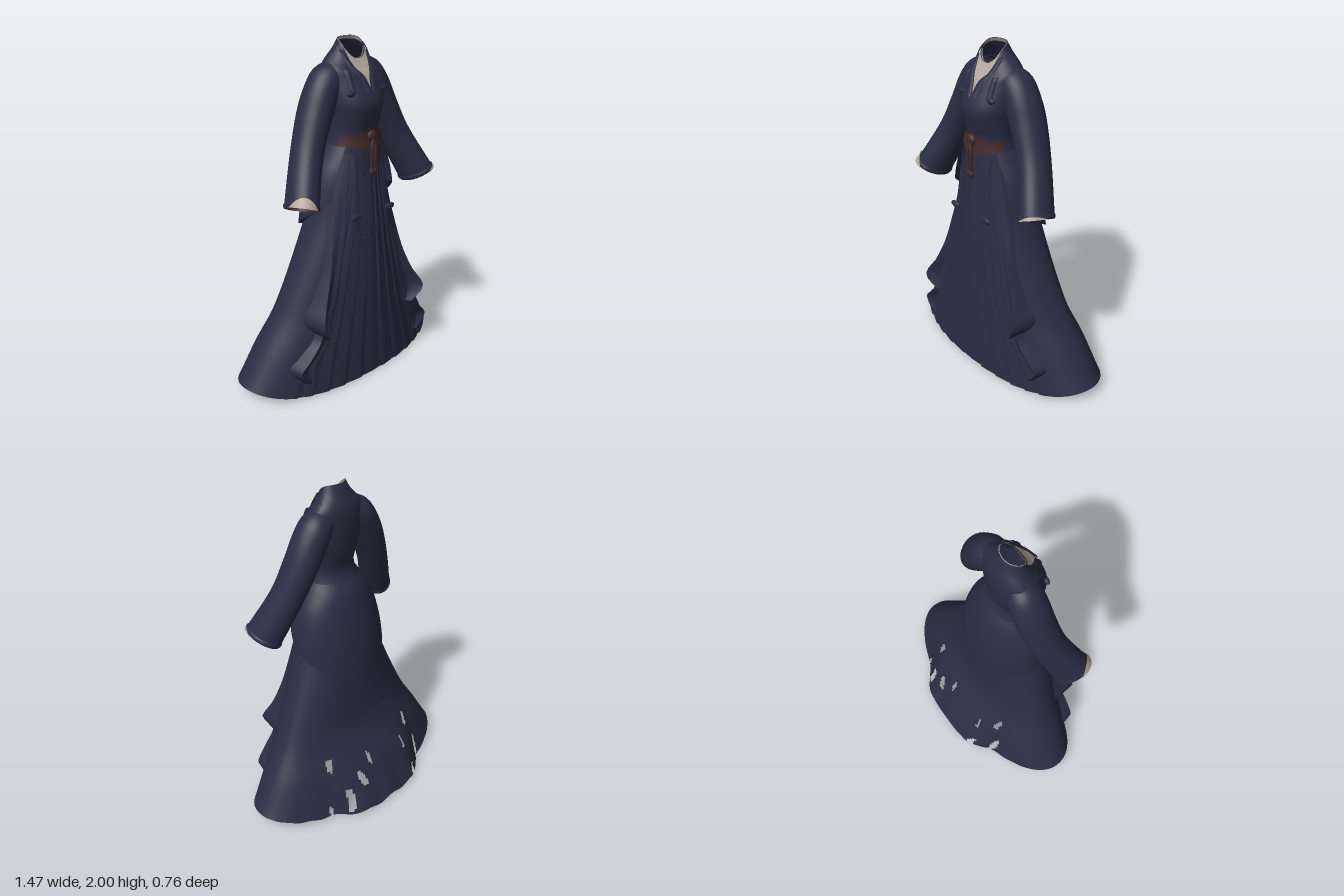
import * as THREE from 'three';
import { toCreasedNormals } from 'three/addons/utils/BufferGeometryUtils.js';

const cloth = (name, color) => {
  const m = new THREE.MeshStandardMaterial({ color, side: THREE.DoubleSide });
  m.name = name;
  return m;
};

// Smooth interpolation of rows [t, a, b, ...] sorted by falling t
function sample(rows, t) {
  const last = rows.length - 1;
  let i = 0;
  while (i < last - 1 && t < rows[i + 1][0]) i++;
  const A = rows[i], B = rows[i + 1], P = rows[Math.max(i - 1, 0)], N = rows[Math.min(i + 2, last)];
  const h = B[0] - A[0], s = THREE.MathUtils.clamp((t - A[0]) / h, 0, 1);
  return A.slice(1).map((a, k) => {
    const b = B[k + 1];
    const m0 = h * (b - P[k + 1]) / (B[0] - P[0]), m1 = h * (N[k + 1] - a) / (N[0] - A[0]);
    return (2 * s ** 3 - 3 * s * s + 1) * a + (s ** 3 - 2 * s * s + s) * m0
      + (3 * s * s - 2 * s ** 3) * b + (s ** 3 - s * s) * m1;
  });
}

// Surface patch from fn(u, v) -> Vector3; keep(p) may leave out torn quads
function grid(fn, nu, nv, keep) {
  const pos = [], idx = [], pts = [];
  for (let j = 0; j <= nv; j++) for (let i = 0; i <= nu; i++) {
    const p = fn(i / nu, j / nv);
    pts.push(p);
    pos.push(p.x, p.y, p.z);
  }
  for (let j = 0; j < nv; j++) for (let i = 0; i < nu; i++) {
    const a = j * (nu + 1) + i, b = a + 1, c = a + nu + 1, d = c + 1;
    if (!keep || keep(pts[a])) idx.push(a, b, c, b, d, c);
  }
  const g = new THREE.BufferGeometry();
  g.setAttribute('position', new THREE.Float32BufferAttribute(pos, 3));
  g.setIndex(idx);
  return toCreasedNormals(g, 0.7);
}

// Profiles: height, half width, front z, back z, middle z
const TORSO = [
  [2.0, 0.078, 0.19, 0.07, 0.13], [1.95, 0.102, 0.215, 0.045, 0.125], [1.91, 0.135, 0.228, 0.025, 0.115],
  [1.87, 0.168, 0.24, 0.012, 0.11], [1.8, 0.175, 0.262, 0.005, 0.11], [1.67, 0.17, 0.318, 0.01, 0.13],
  [1.6, 0.155, 0.308, 0.02, 0.15], [1.5, 0.148, 0.285, 0.04, 0.16], [1.4, 0.17, 0.295, 0.0, 0.15]];
const SKIRT = [
  [1.42, 0.15, 0.295, 0.02, 0.15], [1.2, 0.215, 0.312, -0.04, 0.13], [1.0, 0.275, 0.325, -0.08, 0.11],
  [0.8, 0.355, 0.332, -0.1, 0.09], [0.6, 0.44, 0.338, -0.122, 0.07], [0.45, 0.51, 0.34, -0.15, 0.055],
  [0.25, 0.62, 0.345, -0.23, 0.04], [0.0, 0.735, 0.35, -0.3, 0.03]];
const PEPLUM = [
  [1.44, 0.16, 0.295, 0.02, 0.15], [1.38, 0.195, 0.305, -0.02, 0.14], [1.3, 0.24, 0.31, -0.045, 0.13],
  [1.2, 0.272, 0.32, -0.07, 0.12], [1.05, 0.3, 0.33, -0.098, 0.11], [0.88, 0.31, 0.34, -0.12, 0.1]];

const POWER = 2.2, FRONT = Math.PI / 2;
function surf(rows, t, a, off = 0) {
  const [w, zf, zb, cz] = sample(rows, t);
  const c = Math.cos(a), s = Math.sin(a);
  const n = s > 0 ? POWER : 2;
  const x = (w + off) * Math.sign(c) * Math.abs(c) ** (2 / n);
  const d = (s > 0 ? zf - cz : cz - zb) + off;
  return new THREE.Vector3(x, t, cz + d * Math.sign(s) * Math.abs(s) ** (2 / n));
}

// Bodice whose neckline slopes from the nape down to the front
function torso(t, a, off) {
  const p = surf(TORSO, t, a, off);
  p.y -= 0.105 * ((1 + Math.sin(a)) / 2) ** 2.4 * THREE.MathUtils.smoothstep(t, 1.78, 2);
  return p;
}
function torsoAt(x, t, off) {
  const k = Math.min(1, Math.abs(x) / sample(TORSO, t)[0]) ** (POWER / 2);
  return torso(t, FRONT - Math.sign(x) * Math.asin(k), off);
}

// Skirt: knife pleats over the front, hem lifted at the sides, short train at the back
function skirt(t, a) {
  const q = Math.abs(a - FRONT) / 0.168;
  const on = q < 4.5 ? THREE.MathUtils.clamp((1.42 - t) * 4, 0, 1) : 0;
  const p = surf(SKIRT, t, a, -0.009 * on * ((q + 0.5) % 1));
  const low = Math.max(0, 1 - t / 0.5) ** 2, c = Math.cos(a), back = Math.max(0, -Math.sin(a));
  p.y += low * (0.005 + 0.07 * c ** 4 + back * (0.015 + 0.01 * back * Math.sin(a * 23)));
  if (back > 0) p.z -= 0.085 * Math.max(0, 1 - t / 0.55) ** 1.2 * (1 - THREE.MathUtils.smoothstep(Math.abs(p.x), 0.2, 0.42));
  return p;
}
function skirtAt(x, t) {
  const w = sample(SKIRT, t)[0];
  return surf(SKIRT, t, Math.acos(Math.min(1, x / w) ** (POWER / 2)));
}
// Upright tears near the back hem
function whole(p) {
  const m = Math.abs(p.x);
  if (p.z > -0.14 || p.y > 0.38 || m > 0.4 || (p.x < 0.06 && p.x > -0.22)) return true;
  return Math.sin(p.x * 48 + 1.5 * Math.sin(p.y * 14)) + 0.6 * Math.sin(p.y * 22 + p.x * 19) < 0.8 + 1.2 * p.y;
}

// Sleeve rows: t, x, y, z, radius across, radius in z, tilt, angle of the cross-section
const SLEEVE = [
  [1, 0.07, 1.83, 0.11, 0.065, 0.075, 0, 1.3], [0.87, 0.145, 1.785, 0.105, 0.093, 0.098, 0, 0.95],
  [0.76, 0.195, 1.715, 0.108, 0.096, 0.103, 0, 0.62], [0.6, 0.248, 1.61, 0.115, 0.092, 0.105, 0, 0.42],
  [0.33, 0.335, 1.42, 0.15, 0.086, 0.1, 0.01, 0.41], [0, 0.455, 1.16, 0.24, 0.09, 0.108, 0.03, 0.41]];
function sleeve(t, a, off = 0) {
  const [x, y, z, r, rz, tilt, turn] = sample(SLEEVE, t), c = (r + off) * Math.cos(a);
  return new THREE.Vector3(x + Math.cos(turn) * c, y + Math.sin(turn) * c + tilt * Math.sin(a), z + (rz + off) * Math.sin(a));
}

// Cascading front drapes: t, inner x, outer x, forward offset
const DRAPES = [
  { name: 'upperDrape', rows: [[1.4, 0.12, 0.15, 0.005], [1.0, 0.17, 0.235, 0.015], [0.75, 0.22, 0.29, 0.035],
    [0.58, 0.25, 0.355, 0.08], [0.46, 0.29, 0.41, 0.14], [0.36, 0.31, 0.34, 0.05]] },
  { name: 'lowerDrape', rows: [[0.5, 0.25, 0.35, 0.04], [0.36, 0.3, 0.385, 0.04], [0.27, 0.35, 0.46, 0.06],
    [0.19, 0.4, 0.525, 0.07], [0.1, 0.42, 0.46, 0.02]] }];
function drape(rows) {
  return (u, v) => {
    const t = THREE.MathUtils.lerp(rows[0][0], rows[rows.length - 1][0], v);
    const [xi, xo, off] = sample(rows, t);
    if (u > 0.8) { // side wall folding back to the skirt
      const k = (u - 0.8) / 0.2, p = skirtAt(xo + 0.025 * k, t);
      p.z += off * (1 - k) - 0.01 * k;
      return p;
    }
    const k = u / 0.8, p = skirtAt(THREE.MathUtils.lerp(xi, xo, k), t);
    p.z += 0.004 + (off - 0.004) * k * k + 0.01 * v * Math.sin(k * 9) * (1 - k);
    return p;
  };
}

export function createModel() {
  const navy = cloth('navy cloth', 0x2a2c43), brown = cloth('brown sash', 0x422a2b), cream = cloth('cream lining', 0xb3a698);
  const model = new THREE.Group();
  const add = (name, geo, mat, parent = model) => {
    const m = new THREE.Mesh(geo, mat);
    m.name = name;
    parent.add(m);
    return m;
  };
  const lerp = THREE.MathUtils.lerp, TAU = Math.PI * 2;

  add('bodice', grid((u, v) => torso(lerp(2, 1.4, v), u * TAU), 64, 44), navy);
  add('skirt', grid((u, v) => skirt(lerp(1.42, 0, v), u * TAU), 300, 84, whole), navy);
  add('waistLining', grid((u, v) => {
    const p = torso(1.44, u * TAU);
    return p.set(p.x * v, p.y, lerp(0.15, p.z, v));
  }, 32, 1), navy);

  // Overskirt, open at the front and longer at the back
  add('peplum', grid((u, v) => {
    const a = lerp(0.62, -Math.PI - 0.62, u), s = Math.sin(a);
    const hem = 1.04 + (s < 0 ? 0.16 : 0.2) * s, lip = v > 0.97;
    return surf(PEPLUM, lerp(1.44, hem, Math.min(1, v / 0.96)), a, lip ? -0.025 : 0.006);
  }, 72, 26), navy);

  // Cream underlayer in the neck, with a rim inside the opening
  add('neckInset', grid((u, v) => torsoAt((u * 2 - 1) * 0.072 * (1 - v) ** 1.1, lerp(2, 1.75, v), 0.005), 24, 20), cream);
  add('neckRim', grid((u, v) => torso(lerp(2, 1.98, v), u * TAU, -0.004), 48, 1), cream);
  for (const s of [-1, 1]) add('collarBand', grid((u, v) => torsoAt(s * (0.068 * (1 - v) ** 1.1 + 0.003 + 0.03 * u),
    lerp(1.985, 1.73, v), 0.006 + 0.006 * Math.sin(u * Math.PI)), 6, 20), navy);

  // Sash with a raised middle
  add('sash', grid((u, v) => {
    const a = lerp(0.3, Math.PI - 0.3, u), mid = Math.max(0, Math.sin(a)) ** 12;
    return torso(lerp(1.5 + 0.035 * mid, 1.44 - 0.035 * mid, v), a, 0.012);
  }, 36, 6), brown);
  add('sashKnot', new THREE.SphereGeometry(0.034, 16, 12).scale(1, 0.9, 0.5), brown).position.set(0, 1.49, 0.305);
  for (const s of [-1, 1]) {
    const path = new THREE.CatmullRomCurve3([[0, 1.48, 0.31], [0.012 * s, 1.42, 0.32], [0.01 * s, 1.29, 0.32]]
      .map(p => new THREE.Vector3(...p)));
    add('sashCord', new THREE.TubeGeometry(path, 12, 0.01, 8), brown);
    add('cordEnd', new THREE.SphereGeometry(0.016, 10, 8).scale(1, 1.5, 0.8), brown).position.set(0.01 * s, 1.29, 0.32);
  }

  // Parts mirrored on both sides
  for (const s of [1, -1]) {
    const side = new THREE.Group();
    side.name = s > 0 ? 'leftSide' : 'rightSide';
    side.scale.x = s;
    model.add(side);
    add('sleeve', grid((u, v) => sleeve(1 - v, u * TAU), 36, 36), navy, side);
    add('cuffHem', grid((u, v) => sleeve(0.03 * v, u * TAU, 0.005 * Math.sin(v * Math.PI)), 36, 4), navy, side);
    add('cuffLining', grid((u, v) => sleeve(0.02 * v, u * TAU, -0.008), 36, 1), brown, side);
    // The cream under-cuff shows more on the right sleeve
    const depth = s > 0 ? 0.022 : 0.065;
    add('cuffTrim', grid((u, v) => sleeve(depth * v * Math.sin(u * Math.PI), lerp(0, 1.8, u), 0.007), 16, 2), cream, side);
    for (const d of DRAPES) add(d.name, grid(drape(d.rows), 20, 30), navy, side);

    // Ribbon hanging from the waist with a slanted end and a small loop
    add('ribbon', grid((u, v) => {
      const p = skirtAt(lerp(lerp(0.09, 0.105, v), lerp(0.125, 0.19, v * v), u), lerp(1.4, lerp(0.96, 0.9, u), v));
      p.z += 0.012 + 0.006 * Math.sin(u * Math.PI);
      return p;
    }, 6, 20), navy, side);
    add('ribbonLoop', new THREE.SphereGeometry(0.032, 12, 8).scale(1.2, 0.6, 0.4), navy, side).position.set(0.135, 1.05, 0.325);

    // Chest strap with a small tie
    add('chestStrap', grid((u, v) => torsoAt(lerp(0.09, 0.12, u), lerp(1.88, 1.73, v),
      0.003 + 0.008 * Math.sin(u * Math.PI)), 6, 12), navy, side);
    add('chestTie', new THREE.SphereGeometry(0.026, 10, 8).scale(1.2, 0.7, 0.6), navy, side)
      .position.copy(torsoAt(0.115, 1.73, 0.004));
  }
  return model;
}
